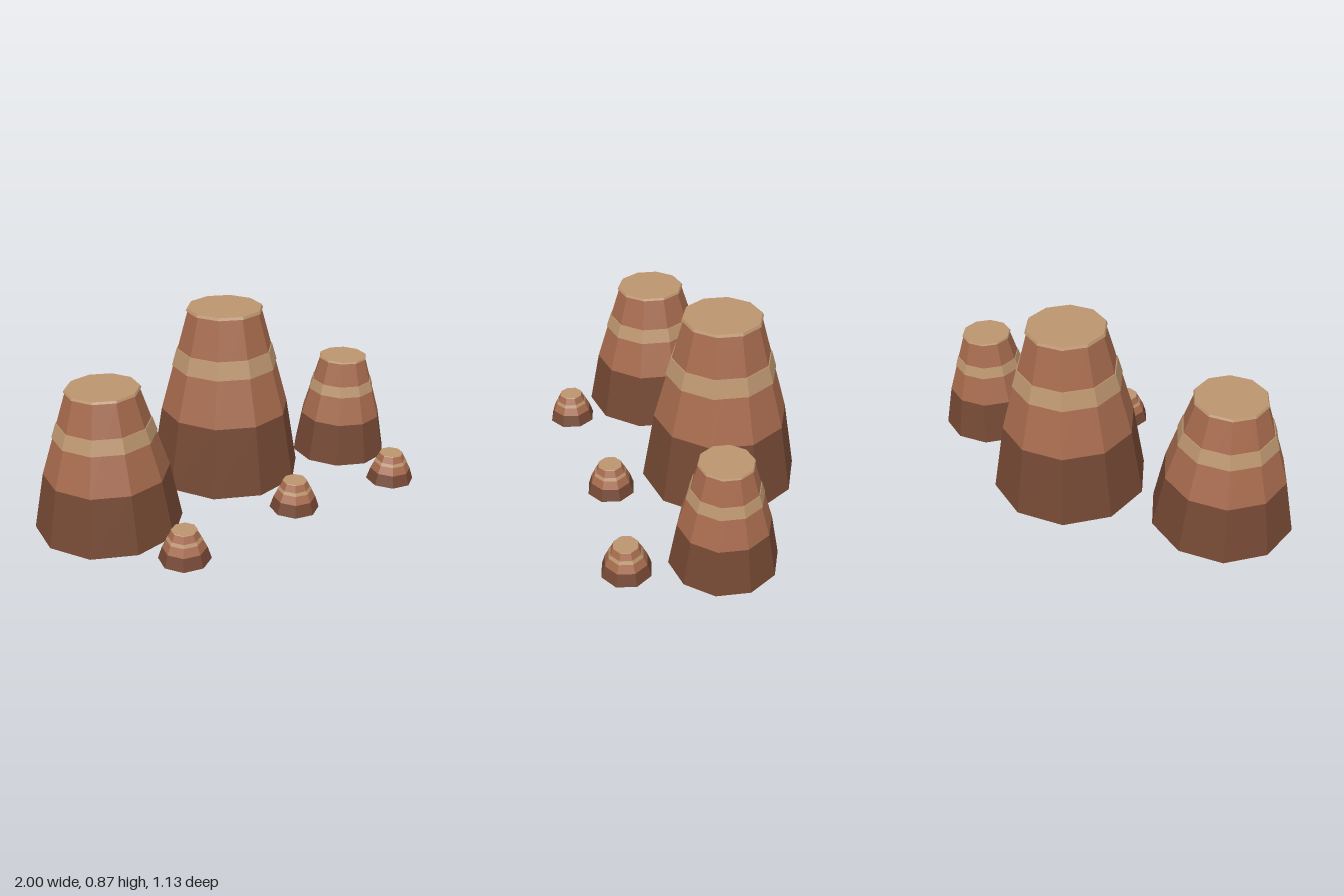
import * as THREE from 'three';

const material = (name, color) => {
  const m = new THREE.MeshStandardMaterial({ color, flatShading: true });
  m.name = name;
  return m;
};

export function createModel() {
  const darkRock = material('dark rock', 0x734733);
  const redRock = material('red rock', 0xa4694c);
  const paleRock = material('pale sandstone', 0xba946e);

  // Layers as fractions of the base radius and the height:
  // name, bottom height, top height, bottom radius, top radius, material
  const layers = [
    ['foot', 0, 0.4, 1, 0.845, darkRock],
    ['body', 0.4, 0.985, 0.845, 0.48, redRock],
    ['band', 0.665, 0.765, 0.695, 0.63, paleRock],
    ['cap', 0.985, 1, 0.503, 0.487, paleRock],
  ];

  // One tapered, layered rock tower
  function tower(name, x, z, radius, height, sides, turn) {
    const group = new THREE.Group();
    group.name = name;
    for (const [part, y0, y1, r0, r1, mat] of layers) {
      const h = (y1 - y0) * height;
      const mesh = new THREE.Mesh(
        new THREE.CylinderGeometry(r1 * radius, r0 * radius, h, sides), mat);
      mesh.name = part;
      mesh.position.y = y0 * height + h / 2;
      group.add(mesh);
    }
    group.position.set(x, 0, z);
    group.rotation.y = THREE.MathUtils.degToRad(turn);
    return group;
  }

  const model = new THREE.Group();
  model.name = 'rockFormation';
  // Three large mesas
  model.add(
    tower('tallMesa', 0.12, -0.19, 0.385, 0.872, 10, -9.4),
    tower('rightMesa', -0.658, -0.066, 0.346, 0.68, 10, -9.4),
    tower('leftMesa', 0.75, 0.012, 0.25, 0.532, 10, -9.4),
  );
  // Small boulders in front
  [[-0.563, 0.417], [0.117, 0.37], [0.698, 0.447]].forEach(([x, z], i) =>
    model.add(tower(`boulder${i + 1}`, x, z, 0.119, 0.146, 8, 7.5)));
  return model;
}
